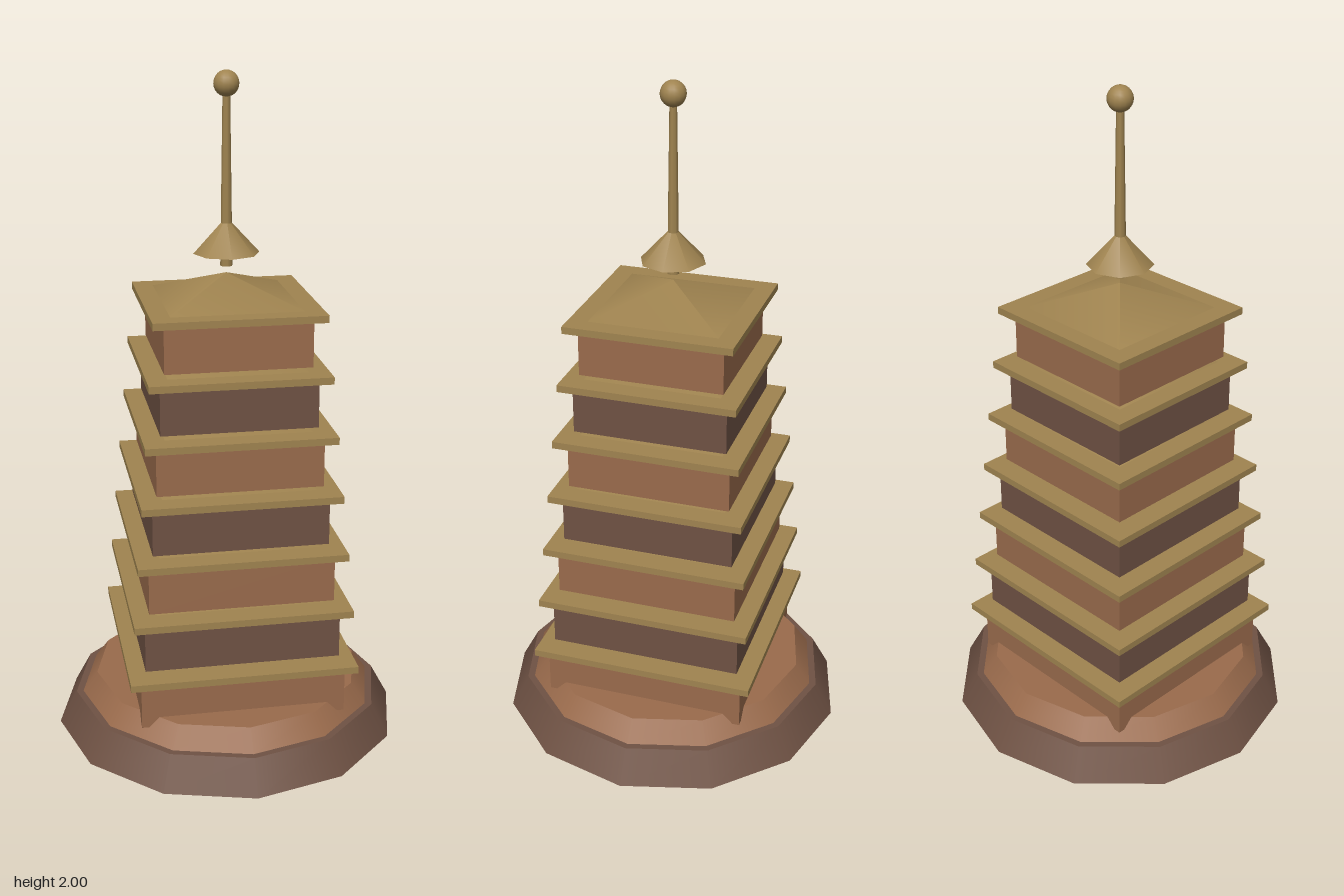
import * as THREE from 'three';

const paint = (color) => new THREE.MeshStandardMaterial({ color });

export function createModel() {
  const model = new THREE.Group();
  model.name = 'pagoda';

  const clay = paint(0x9a6b4c);
  const umber = paint(0x6f5244);
  const gold = paint(0xa08450);

  function add(name, geometry, material, y, parent = model) {
    const mesh = new THREE.Mesh(geometry, material);
    mesh.name = name;
    mesh.position.y = y;
    parent.add(mesh);
    return mesh;
  }

  // Two-step twelve-sided plinth
  add('lowerPlinth', new THREE.CylinderGeometry(0.476, 0.53, 0.1, 12), umber, 0.05);
  add('upperPlinth', new THREE.CylinderGeometry(0.41, 0.455, 0.062, 12), clay, 0.131);

  // Seven shrinking storeys, each with walls, an eave slab and a low hipped roof
  const pitch = 0.1763;
  for (let i = 0; i < 7; i++) {
    const storey = new THREE.Group();
    storey.name = `storey${i + 1}`;
    storey.position.y = 0.131 + i * pitch;
    model.add(storey);

    const wall = 0.612 - i * 0.0307;
    const eave = 0.679 - i * 0.0302;
    add('walls', new THREE.BoxGeometry(wall, 0.14, wall), i % 2 ? umber : clay, 0.07, storey);
    add('eaves', new THREE.BoxGeometry(eave, 0.021, eave), gold, 0.1485, storey);
    const roof = add('roof', new THREE.ConeGeometry(eave * 0.545, 0.077, 4), gold, 0.1975, storey);
    roof.rotation.y = Math.PI / 4;
  }

  // Finial: rod, eight-sided canopy and ball
  add('finialRod', new THREE.CylinderGeometry(0.011, 0.018, 0.495, 8), gold, 1.6925);
  add('finialCanopy', new THREE.ConeGeometry(0.097, 0.105, 8), gold, 1.535);
  add('finialBall', new THREE.SphereGeometry(0.037, 16, 12), gold, 1.963);

  // The whole tower stands slightly turned
  model.rotation.y = -0.237;
  return model;
}
